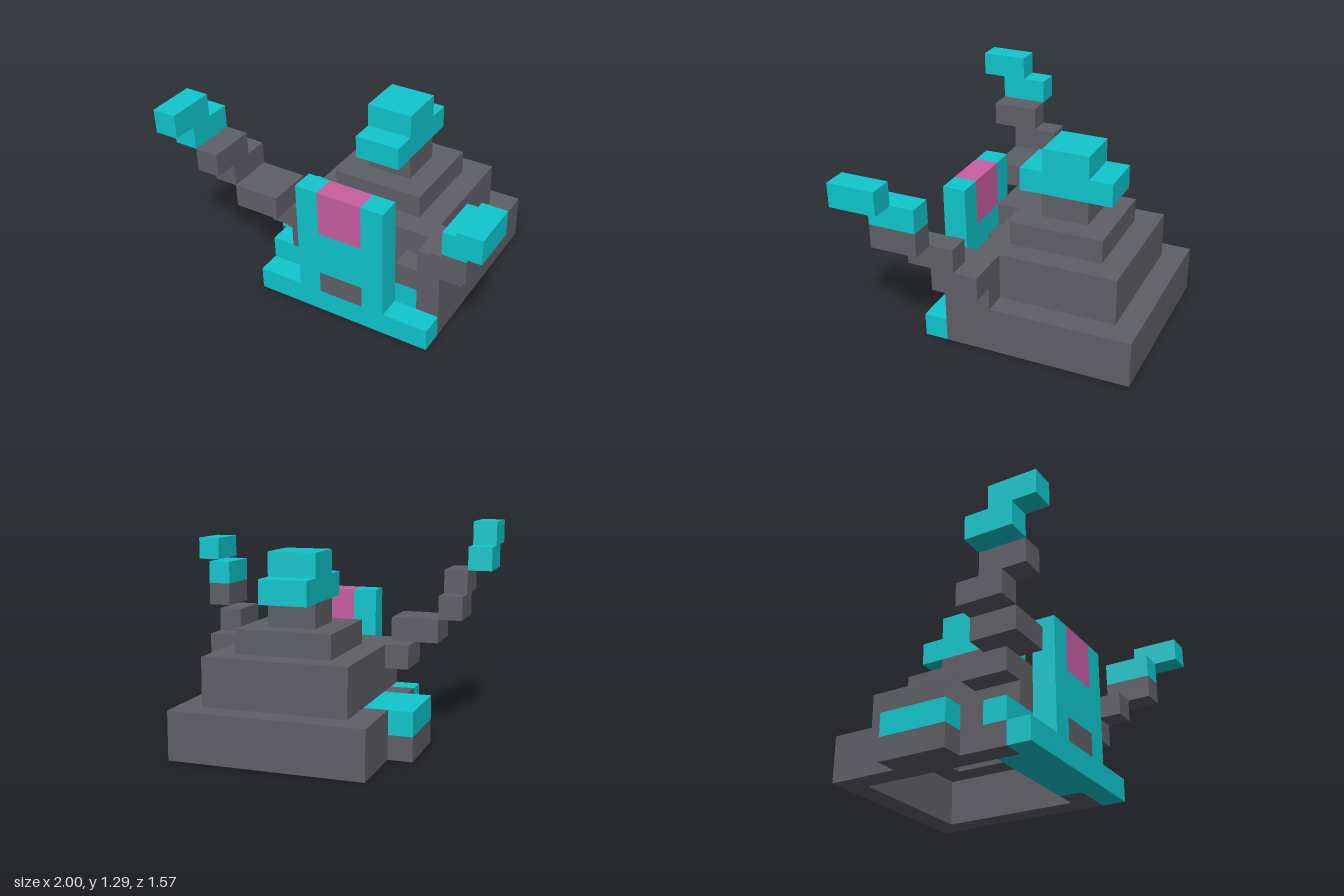
import * as THREE from 'three';

const U = 1 / 7; // one block

export function createModel() {
  const root = new THREE.Group();
  const mat = (name, hex) => {
    const m = new THREE.MeshStandardMaterial({ color: hex });
    m.name = name;
    return m;
  };
  const grey = mat('grey', 0x5f5f67);
  const teal = mat('teal', 0x0fc7cd);
  const pink = mat('pink', 0xc95fa2);

  // boxes are given in blocks as [x0, x1, y0, y1, z0, z1]
  const part = (name, ...layers) => {
    const group = new THREE.Group();
    group.name = name;
    for (const [material, boxes] of layers) {
      for (const [x0, x1, y0, y1, z0, z1] of boxes) {
        const geo = new THREE.BoxGeometry((x1 - x0) * U, (y1 - y0) * U, (z1 - z0) * U);
        const mesh = new THREE.Mesh(geo, material);
        mesh.name = name + 'Block';
        mesh.position.set((x0 + x1) / 2 * U, (y0 + y1) / 2 * U, (z0 + z1) / 2 * U);
        group.add(mesh);
      }
    }
    root.add(group);
  };

  // Hollow lower tier
  part('baseWalls', [grey, [
    [-3, 3, 0, 2, -5.5, -4.5],
    [3, 4, 0, 2, -5.5, 0.5],
    [3, 4, 0, 3, 0.5, 2.5],
    [-4, -3, 0, 1, -5.5, 2.5],
    [-4, -3, 1, 2, -5.5, -2.5],
    [-4, -3, 1, 2, 0.5, 1.5],
    [2, 3, 0, 1, 1.5, 2.5],
  ]]);
  part('frontWall', [teal, [
    [-3, 2, 0, 1, 1.5, 2.5],
    [-4, 3, 1, 2, 1.5, 2.5],
  ]]);

  // Side bump
  part('sideBlock',
    [grey, [[-5, -4, 0, 1, -2.5, 0.5]]],
    [teal, [[-5, -3, 1, 2, -2.5, 0.5]]]);

  // Hollow middle tier, notched behind the plate
  part('middleTier', [grey, [
    [-3, 3, 2, 4, -4.5, -3.5],
    [-3, -2, 2, 4, -3.5, 0.5],
    [2, 3, 2, 4, -3.5, 0.5],
    [-3, 3, 2, 4, 0.5, 1.5],
    [-3, -1, 2, 4, 1.5, 2.5],
    [-1, 0, 2, 3, 1.5, 2.5],
    [2, 3, 2, 3, 1.5, 2.5],
  ]]);

  // Upper tier, neck and cap
  part('upperTier', [grey, [[-2, 2, 4, 5, -3.5, 0.5]]]);
  part('neck', [grey, [[-1, 1, 5, 6, -2.5, -0.5]]]);
  part('cap', [teal, [
    [-1, 1, 6, 7, -3.5, 0.5],
    [-1, 1, 7, 8, -2.5, -0.5],
  ]]);

  // Front plate with window and slot
  part('frontPlate', [teal, [
    [-4, 4, 0, 1, 2.5, 3.5],
    [-2, -1, 1, 6, 2.5, 3.5],
    [1, 2, 1, 6, 2.5, 3.5],
    [-1, 1, 2, 4, 2.5, 3.5],
  ]]);
  part('window', [pink, [[-1, 1, 4, 6, 2.5, 3.5]]]);
  part('slot', [grey, [[-1, 1, 1, 2, 2.5, 3.5]]]);

  // Stepped arms
  part('leftArm',
    [grey, [
      [3, 5, 3, 4, 0.5, 2.5],
      [4, 5, 4, 5, 1.5, 3.5],
      [4, 5, 3, 4, 2.5, 2.5 + 0.001],
      [5, 6, 5, 6, 2.5, 4.5],
    ].filter(b => b[5] - b[4] > 0.5)],
    [teal, [
      [5, 6, 6, 7, 2.5, 4.5],
      [6, 7, 7, 8, 3.5, 5.5],
    ]]);
  part('rightArm',
    [grey, [
      [-4, -3, 3, 4, 0.5, 2.5],
      [-5, -3, 4, 5, 1.5, 3.5],
      [-6, -5, 5, 6, 1.5, 3.5],
      [-6, -5, 6, 7, 2.5, 4.5],
    ]],
    [teal, [
      [-7, -6, 7, 8, 2.5, 4.5],
      [-7, -6, 8, 9, 3.5, 5.5],
    ]]);

  return root;
}
